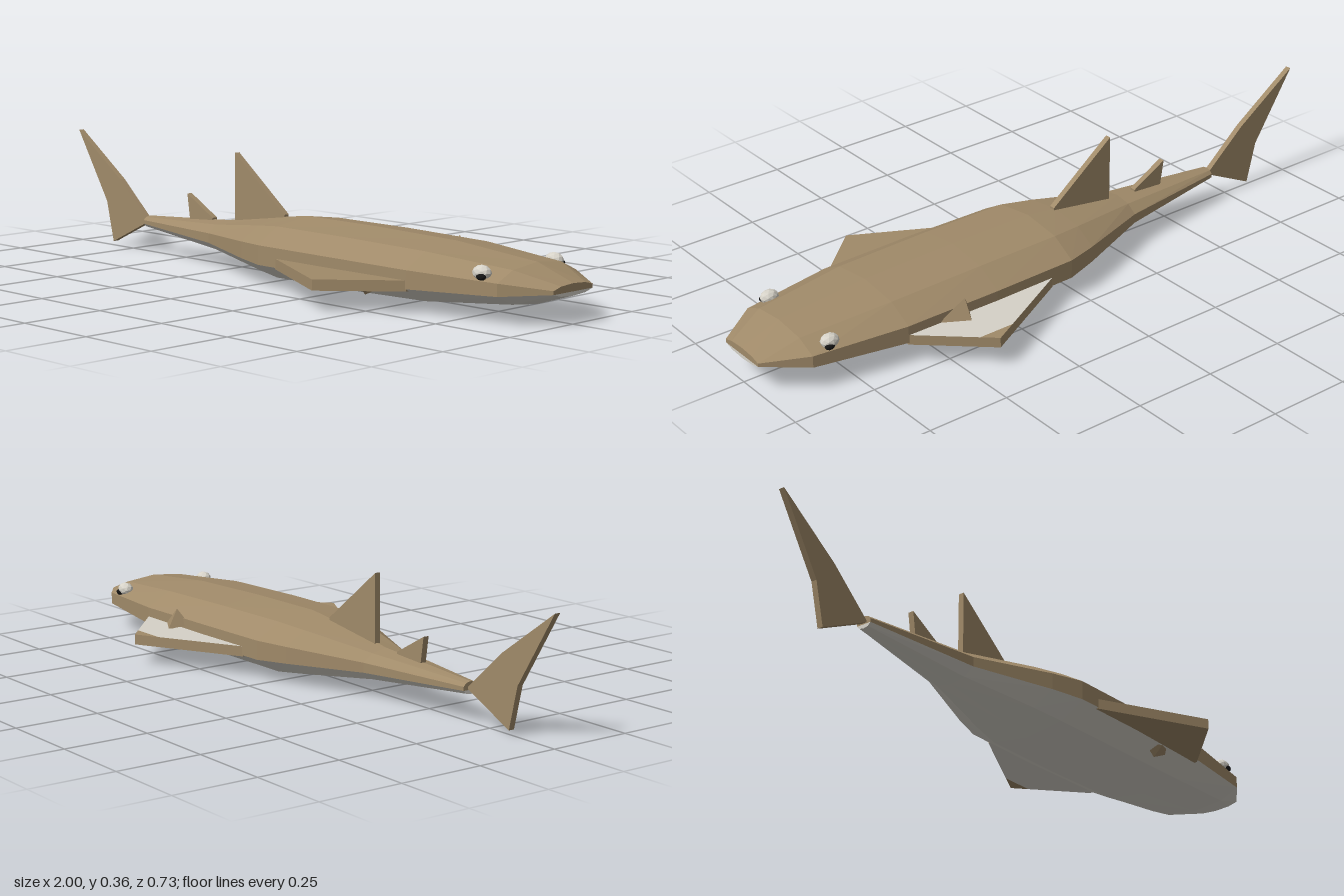
import * as THREE from 'three';

const material = (name, color) => {
  const m = new THREE.MeshStandardMaterial({ color, flatShading: true });
  m.name = name;
  return m;
};

// Body stations along the length: [x, half width, centre height, half height]
const STATIONS = [
  [-0.67, 0.024, 0.095, 0.018], [-0.31, 0.08, 0.09, 0.046], [-0.07, 0.17, 0.092, 0.079],
  [0.03, 0.2, 0.092, 0.091], [0.3, 0.205, 0.092, 0.09], [0.6, 0.202, 0.092, 0.083],
  [0.88, 0.16, 0.094, 0.056], [1.0, 0.08, 0.092, 0.0165],
];

// Point k of the ten-sided ring at station s, counted from the top towards +z
function ringPoint(s, k) {
  const [x, w, y, h] = STATIONS[s];
  const a = (k * Math.PI) / 5;
  return [x, y + h * Math.cos(a), (w / Math.sin(0.4 * Math.PI)) * Math.sin(a)];
}

function triangles(points) {
  const g = new THREE.BufferGeometry();
  g.setAttribute('position', new THREE.Float32BufferAttribute(points.flat(), 3));
  g.computeVertexNormals();
  return g;
}

// Strip of hull between ring points k0 and k1, with its share of both end caps
function hull(k0, k1) {
  const pts = [];
  const last = STATIONS.length - 1;
  for (let k = k0; k < k1; k++) {
    for (let s = 0; s < last; s++) {
      const a = ringPoint(s, k), b = ringPoint(s, k + 1);
      const c = ringPoint(s + 1, k), d = ringPoint(s + 1, k + 1);
      pts.push(a, b, c, b, d, c);
    }
    if (k > k0) {
      pts.push(ringPoint(last, k0), ringPoint(last, k), ringPoint(last, k + 1));
      pts.push(ringPoint(0, k0), ringPoint(0, k + 1), ringPoint(0, k));
    }
  }
  return triangles(pts);
}

// Flat plate cut from an outline
function plate(outline, depth) {
  const shape = new THREE.Shape(outline.map(([x, y]) => new THREE.Vector2(x, y)));
  return new THREE.ExtrudeGeometry(shape, { depth, bevelEnabled: false });
}

export function createModel() {
  const model = new THREE.Group();
  model.name = 'shark';
  const tan = material('tan skin', 0xa08a69);
  const white = material('pale belly', 0xd6d2c8);
  const black = material('black pupil', 0x151515);

  const add = (name, geometry, mat) => {
    const mesh = new THREE.Mesh(geometry, mat);
    mesh.name = name;
    model.add(mesh);
    return mesh;
  };

  add('back', hull(-3, 3), tan);
  add('belly', hull(3, 7), white);

  // Upright fins on the centre line
  const upright = {
    dorsalFin: [[-0.27, 0.342], [-0.27, 0.13], [-0.06, 0.15], [-0.06, 0.178]],
    rearDorsalFin: [[-0.483, 0.2], [-0.468, 0.1], [-0.37, 0.1], [-0.37, 0.137]],
    tailFin: [[-1, 0.356], [-0.8, 0.215], [-0.665, 0.095], [-0.835, 0.015], [-0.865, 0.14]],
  };
  for (const [name, outline] of Object.entries(upright)) {
    add(name, plate(outline, 0.018).translate(0, 0, -0.009), tan);
  }

  // Pectoral fins: one tan, the other pale-faced with a tan tip and rim
  const flat = (outline) => plate(outline, 0.03).rotateX(Math.PI / 2).translate(0, 0.09, 0);
  add('pectoralFin', flat([[0.1, 0.14], [0.6, 0.14], [0.6, 0.2], [0.415, 0.367], [0.1, 0.2]]), tan);
  add('palePectoralFin',
    flat([[0.1, -0.14], [0.6, -0.14], [0.6, -0.2], [0.456, -0.33], [0.345, -0.33], [0.1, -0.2]]),
    [white, tan]);
  add('pectoralFinTip', flat([[0.456, -0.33], [0.415, -0.367], [0.345, -0.33]]), tan);

  // Small spurs beside the pectoral fins: apex, outer corner, front and rear corners
  const spur = (a, b, c, d) => triangles([a, c, b, a, b, d, a, d, c, b, c, d]);
  add('upperSpur', spur([0.42, 0.147, -0.215], [0.42, 0.088, -0.246],
    [0.5, 0.088, -0.2], [0.39, 0.1, -0.19]), tan);
  add('lowerSpur', spur([0.42, 0.025, 0.168], [0.42, 0.055, 0.2],
    [0.5, 0.06, 0.175], [0.39, 0.06, 0.16]), tan);
  model.getObjectByName('upperSpur').material = tan.clone();
  model.getObjectByName('upperSpur').material.side = THREE.DoubleSide;
  model.getObjectByName('lowerSpur').material = model.getObjectByName('upperSpur').material;

  // Eyes
  for (const side of [-1, 1]) {
    const eye = add('eye', new THREE.IcosahedronGeometry(0.028, 1), white);
    eye.scale.set(1, 0.75, 0.8);
    eye.position.set(0.817, 0.131, side * 0.147);
    const pupil = add('pupil', new THREE.IcosahedronGeometry(0.014, 1), black);
    pupil.scale.set(1.1, 0.75, 0.75);
    pupil.position.set(0.826, 0.123, side * 0.161);
  }
  return model;
}
